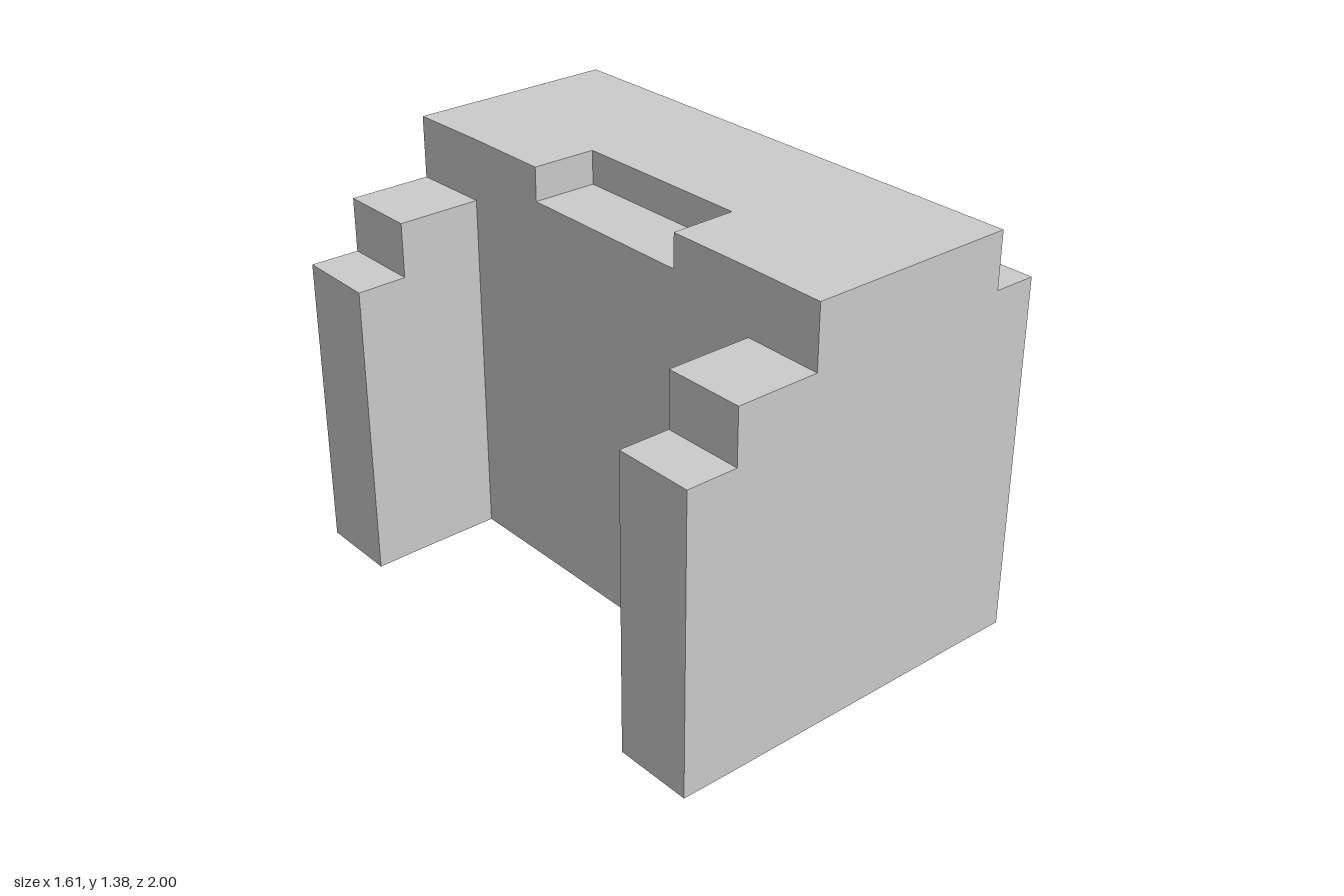
import * as THREE from 'three';

// Plan corners [x, z]; runs go from the courtyard side (-x) to the facade side (+x)
const rear = [[-0.455, -1], [-0.295, -0.965], [-0.025, -0.91], [0.66, -0.77], [0.8, -0.735]];
const rearInner = [[-0.51, -0.735], [-0.345, -0.705], [-0.07, -0.65]];
const frontInner = [[-0.755, 0.48], [-0.59, 0.515], [-0.315, 0.57]];
const front = [[-0.805, 0.74], [-0.64, 0.775], [-0.37, 0.83], [0.32, 0.97], [0.46, 1]];
const notch = [[-0.13, -0.345], [0.08, -0.3], [-0.04, 0.31], [-0.255, 0.27]];
const pilasters = [
  [0.695, -0.21], [0.745, -0.2], [0.71, -0.015], [0.66, -0.025],
  [0.6, 0.28], [0.645, 0.29], [0.61, 0.475], [0.565, 0.465],
];

// Roof heights
const LOW = 0.99, MID = 1.17, LEDGE = 1.19, RECESS = 1.265, TOP = 1.375;

const material = new THREE.MeshStandardMaterial({ color: 0xcccccc, flatShading: true });

// Upright block over a plan outline. bases maps an edge index to the height where
// its wall starts (a taller neighbour hides the wall when that equals the top).
function block(name, outline, top, bases = {}) {
  const pos = [];
  const put = (p, y) => pos.push(p[0], y, p[1]);
  outline.forEach((p, i) => {
    const q = outline[(i + 1) % outline.length];
    const base = bases[i] ?? 0;
    if (base >= top) return;
    put(p, base); put(p, top); put(q, top);
    put(p, base); put(q, top); put(q, base);
  });
  const flat = outline.map(([x, z]) => new THREE.Vector2(x, z));
  for (const [a, b, c] of THREE.ShapeUtils.triangulateShape(flat, [])) {
    put(outline[a], 0); put(outline[b], 0); put(outline[c], 0);
    put(outline[c], top); put(outline[b], top); put(outline[a], top);
  }
  const geometry = new THREE.BufferGeometry();
  geometry.setAttribute('position', new THREE.Float32BufferAttribute(pos, 3));
  geometry.computeVertexNormals();
  const mesh = new THREE.Mesh(geometry, material);
  mesh.name = name;
  return mesh;
}

// Stepped wing between two rows of corners
function wing(name, a, b) {
  const group = new THREE.Group();
  group.name = name;
  group.add(
    block(name + 'LowStep', [a[0], a[1], b[1], b[0]], LOW, { 1: LOW }),
    block(name + 'HighStep', [a[1], a[2], b[2], b[1]], MID, { 1: MID, 3: LOW }),
  );
  return group;
}

export function createModel() {
  const model = new THREE.Group();
  model.name = 'building';

  // Tall main block, wrapped round the roof recess
  model.add(block('mainBlock', [
    rear[2], rear[3], front[3], front[2], frontInner[2],
    notch[3], notch[2], notch[1], notch[0], rearInner[2],
  ], TOP, { 1: LEDGE, 3: MID, 5: RECESS, 6: RECESS, 7: RECESS, 9: MID }));

  // Lower roof terrace open to the courtyard
  model.add(block('roofRecess', notch, RECESS, { 0: RECESS, 1: RECESS, 2: RECESS }));

  // Facade strip with two pilasters, forming a ledge below the roof
  const facade = [rear[3], rear[4], ...pilasters, front[4], front[3]];
  model.add(block('facadeLedge', facade, LEDGE, { [facade.length - 1]: LEDGE }));

  // Two stepped wings enclosing the courtyard
  model.add(wing('rearWing', rear, rearInner));
  model.add(wing('frontWing', frontInner, front));

  return model;
}
